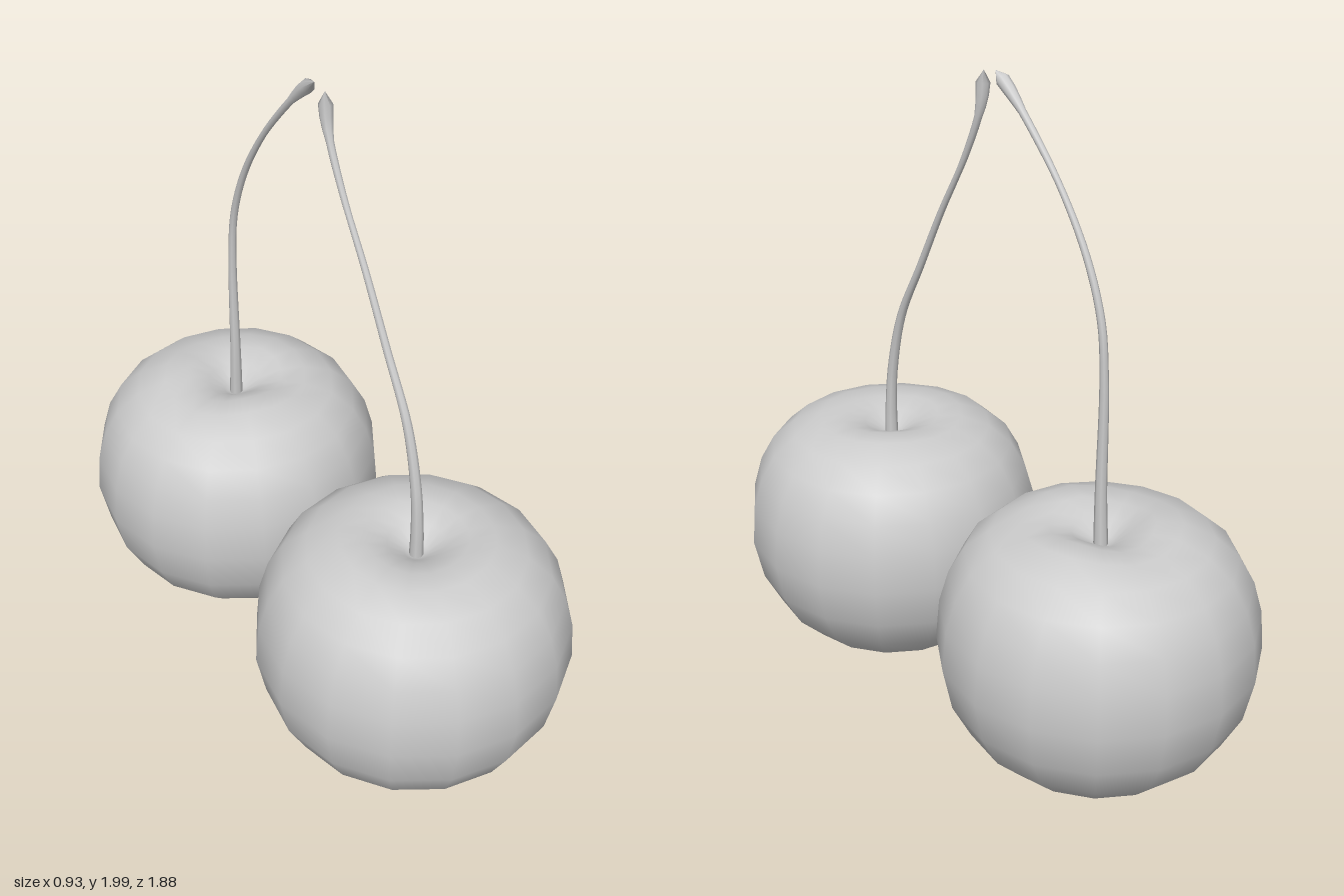
import * as THREE from 'three';
import { mergeVertices } from 'three/addons/utils/BufferGeometryUtils.js';

const material = new THREE.MeshStandardMaterial({ color: 0xcccccc, roughness: 0.7 });

// Fruit profile from bottom to the hollow around the stem: radius, height
const PROFILE = [
  [0, 0.005], [0.1, 0.015], [0.2, 0.05], [0.3, 0.11], [0.385, 0.195], [0.44, 0.3],
  [0.467, 0.43], [0.457, 0.55], [0.43, 0.645], [0.385, 0.725], [0.315, 0.785],
  [0.225, 0.818], [0.15, 0.818], [0.085, 0.795], [0.035, 0.76], [0, 0.745],
];

function fruitGeometry(phase, wobble) {
  let geo = new THREE.LatheGeometry(PROFILE.map(([r, y]) => new THREE.Vector2(r, y)), 16);
  const pos = geo.attributes.position;
  // Gentle unevenness around the top rim
  for (let i = 0; i < pos.count; i++) {
    const x = pos.getX(i), y = pos.getY(i), z = pos.getZ(i);
    const r = Math.hypot(x, z);
    if (y < 0.7) continue;
    const fade = Math.max(0, 1 - Math.abs(r - 0.18) / 0.15);
    pos.setY(i, y + fade * wobble * Math.sin(3 * Math.atan2(x, z) + phase));
  }
  geo.deleteAttribute('uv');
  geo.deleteAttribute('normal');
  geo = mergeVertices(geo, 1e-4);
  geo.computeVertexNormals();
  return geo;
}

// Stem thickness along its length: wide foot, thin middle, knobbed tip
function stemRadius(t) {
  const keys = [[0, 0.021], [0.12, 0.017], [0.4, 0.012], [0.75, 0.009], [0.9, 0.011],
    [0.945, 0.018], [0.975, 0.02], [0.99, 0.015], [1, 0]];
  const k = Math.max(1, keys.findIndex(([u]) => u >= t - 1e-9));
  const [[u0, r0], [u1, r1]] = [keys[k - 1], keys[k]];
  return THREE.MathUtils.mapLinear(t, u0, u1, r0, r1);
}

function stemGeometry(path) {
  const rings = 40, sides = 8;
  const curve = new THREE.CatmullRomCurve3(path.map(([z, y]) => new THREE.Vector3(0, y, z)));
  const geo = new THREE.TubeGeometry(curve, rings, 1, sides);
  const pos = geo.attributes.position, v = new THREE.Vector3();
  // Taper each ring towards the centre line
  for (let i = 0; i <= rings; i++) {
    const centre = curve.getPointAt(i / rings), radius = stemRadius(i / rings);
    for (let j = 0; j <= sides; j++) {
      const n = i * (sides + 1) + j;
      v.fromBufferAttribute(pos, n).sub(centre).multiplyScalar(radius).add(centre);
      pos.setXYZ(n, v.x, v.y, v.z);
    }
  }
  return geo;
}

function makeCherry(name, z, phase, wobble, path) {
  const cherry = new THREE.Group();
  cherry.name = name;
  const fruit = new THREE.Mesh(fruitGeometry(phase, wobble), material);
  fruit.name = 'fruit';
  fruit.position.z = z;
  const stem = new THREE.Mesh(stemGeometry(path), material);
  stem.name = 'stem';
  cherry.add(fruit, stem);
  return cherry;
}

export function createModel() {
  const model = new THREE.Group();
  model.name = 'cherryPair';
  model.add(
    makeCherry('frontCherry', 0.475, 0.5, 0.006, [
      [0.475, 0.74], [0.473, 0.85], [0.46, 0.98], [0.41, 1.17], [0.31, 1.36],
      [0.21, 1.55], [0.1, 1.74], [0.035, 1.89], [0.022, 1.99],
    ]),
    makeCherry('backCherry', -0.475, 2.2, 0.014, [
      [-0.472, 0.74], [-0.466, 0.9], [-0.463, 1.25], [-0.445, 1.41], [-0.385, 1.57],
      [-0.285, 1.73], [-0.175, 1.86], [-0.08, 1.955], [-0.025, 1.997],
    ]),
  );
  return model;
}
